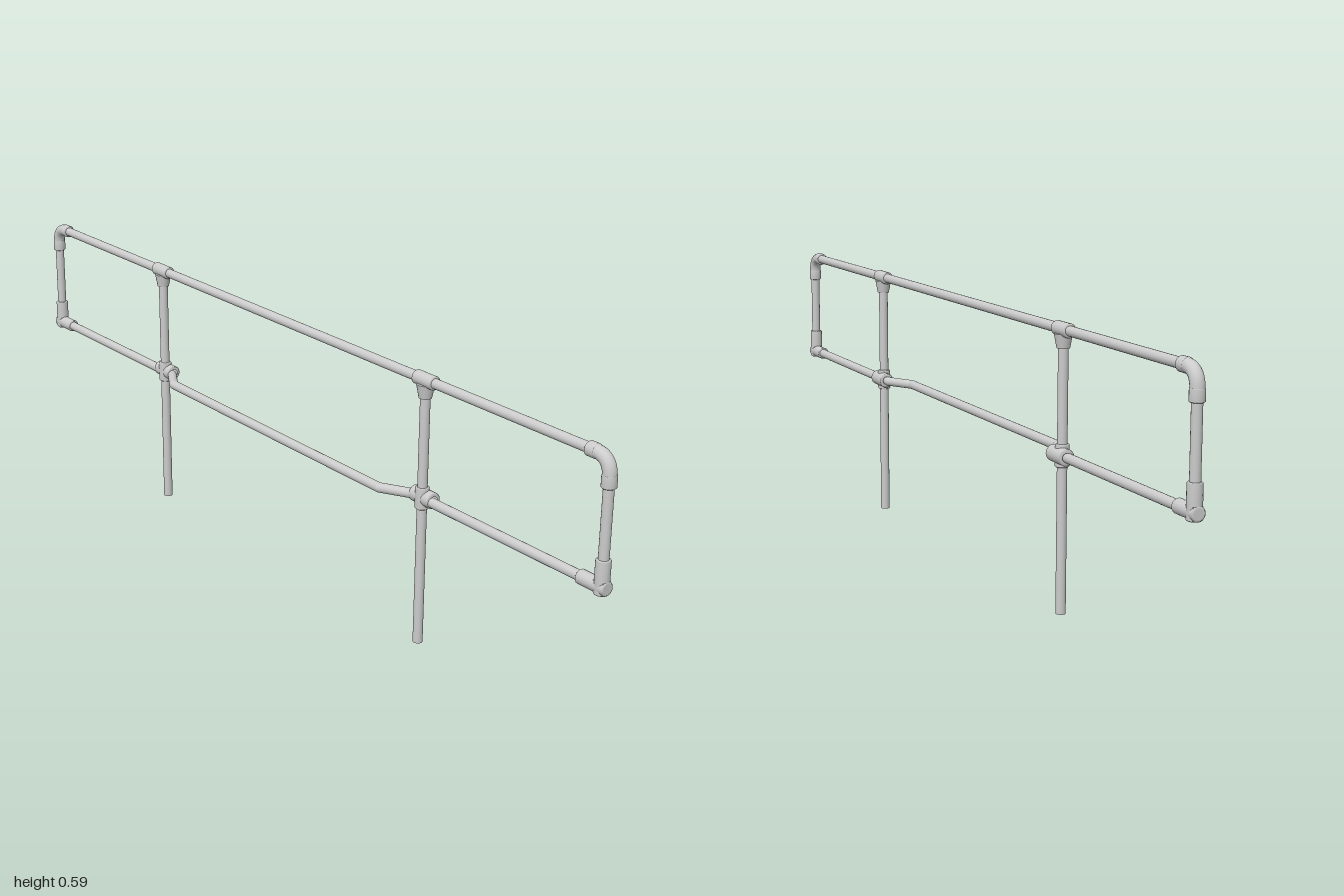
import * as THREE from 'three';

const X = 0.0105;    // plane of the railing
const R = 0.0105;    // tube radius
const RC = 0.0148;   // fitting radius
const TOP = 0.578, MID = 0.325, END = 0.984, POST = 0.482;
const mat = new THREE.MeshStandardMaterial({ color: 0xcccccc, side: THREE.DoubleSide });
const V = (x, y, z) => new THREE.Vector3(x, y, z);

function add(parent, name, geometry) {
  const mesh = new THREE.Mesh(geometry, mat);
  mesh.name = name;
  parent.add(mesh);
  return mesh;
}

// Straight round bar from a to b, optionally tapered or open-ended
function bar(parent, name, a, b, r = R, rEnd = r, open = false) {
  const d = b.clone().sub(a);
  const mesh = add(parent, name, new THREE.CylinderGeometry(rEnd, r, d.length(), 20, 1, open));
  mesh.position.copy(a).add(b).multiplyScalar(0.5);
  mesh.quaternion.setFromUnitVectors(V(0, 1, 0), d.normalize());
  return mesh;
}

// Collar with bevelled rims, made by revolving a profile
function collar(parent, name, a, b, r = RC) {
  const d = b.clone().sub(a), L = d.length(), c = 0.002;
  const pts = [[R * 0.9, 0], [r - c, 0], [r, c], [r, L - c], [r - c, L], [R * 0.9, L]];
  const mesh = add(parent, name, new THREE.LatheGeometry(pts.map(p => new THREE.Vector2(...p)), 20));
  mesh.position.copy(a);
  mesh.quaternion.setFromUnitVectors(V(0, 1, 0), d.normalize());
  return mesh;
}

function ball(parent, name, p, r = RC) {
  add(parent, name, new THREE.SphereGeometry(r, 20, 12)).position.copy(p);
}

export function createModel() {
  const model = new THREE.Group();
  model.name = 'guardRail';

  // Top rail
  bar(model, 'topRail', V(X, TOP, -0.94), V(X, TOP, 0.94));

  // Middle rail, bowed out to the right between the posts
  const bow = -0.0255;
  const path = new THREE.CurvePath();
  const points = [V(X, MID, -0.965), V(X, MID, -0.452), V(bow, MID, -0.388),
    V(bow, MID, 0.388), V(X, MID, 0.452), V(X, MID, 0.965)];
  for (let i = 1; i < points.length; i++) {
    bar(model, 'middleRail', points[i - 1], points[i]);
    if (i < points.length - 1) ball(model, 'middleRailBend', points[i], R);
  }

  for (const s of [1, -1]) {
    // Post with an open foot sleeve
    const post = new THREE.Group();
    post.name = s > 0 ? 'frontPost' : 'backPost';
    model.add(post);
    const z = s * POST;
    bar(post, 'postTube', V(X, 0.05, z), V(X, TOP, z));
    bar(post, 'postFoot', V(X, 0, z), V(X, 0.05, z), R, R, true);

    // Tee under the top rail
    collar(post, 'teeSleeve', V(X, TOP, z - 0.028), V(X, TOP, z + 0.028));
    bar(post, 'teeNeck', V(X, 0.541, z), V(X, 0.57, z), 0.0135, 0.019);

    // Cross fitting at the middle rail
    collar(post, 'crossUpright', V(X, 0.303, z), V(X, 0.35, z));
    collar(post, 'crossSleeve', V(X + 0.005, MID + 0.002, z - 0.03), V(X + 0.005, MID + 0.002, z + 0.03), 0.0175);

    // End loop
    const end = new THREE.Group();
    end.name = s > 0 ? 'frontEnd' : 'backEnd';
    model.add(end);
    const ze = s * END;
    bar(end, 'endTube', V(X, 0.35, ze), V(X, 0.54, ze));

    // Rounded upper elbow
    const bend = new THREE.QuadraticBezierCurve3(
      V(X, TOP, ze - s * 0.038), V(X, TOP, ze), V(X, TOP - 0.038, ze));
    add(end, 'elbowBend', new THREE.TubeGeometry(bend, 14, 0.0138, 20));
    collar(end, 'elbowRailCollar', V(X, TOP, ze - s * 0.054), V(X, TOP, ze - s * 0.032));
    collar(end, 'elbowUprightCollar', V(X, 0.519, ze), V(X, 0.545, ze));

    // Square lower corner fitting
    const low = V(X, MID, ze);
    collar(end, 'cornerUprightSleeve', V(X, MID - 0.0145, ze), V(X, 0.38, ze));
    collar(end, 'cornerRailSleeve', V(X, MID, ze + s * 0.015), V(X, MID, ze - s * 0.055));
    add(end, 'cornerBlock', new THREE.BoxGeometry(0.02, 0.025, 0.025)).position.copy(low);
    bar(end, 'cornerUprightCap', V(X, MID - 0.0145, ze), V(X, MID, ze), 0.0128);
    bar(end, 'cornerRailCap', V(X, MID, ze + s * 0.015), V(X, MID, ze), 0.0128);
  }
  return model;
}
